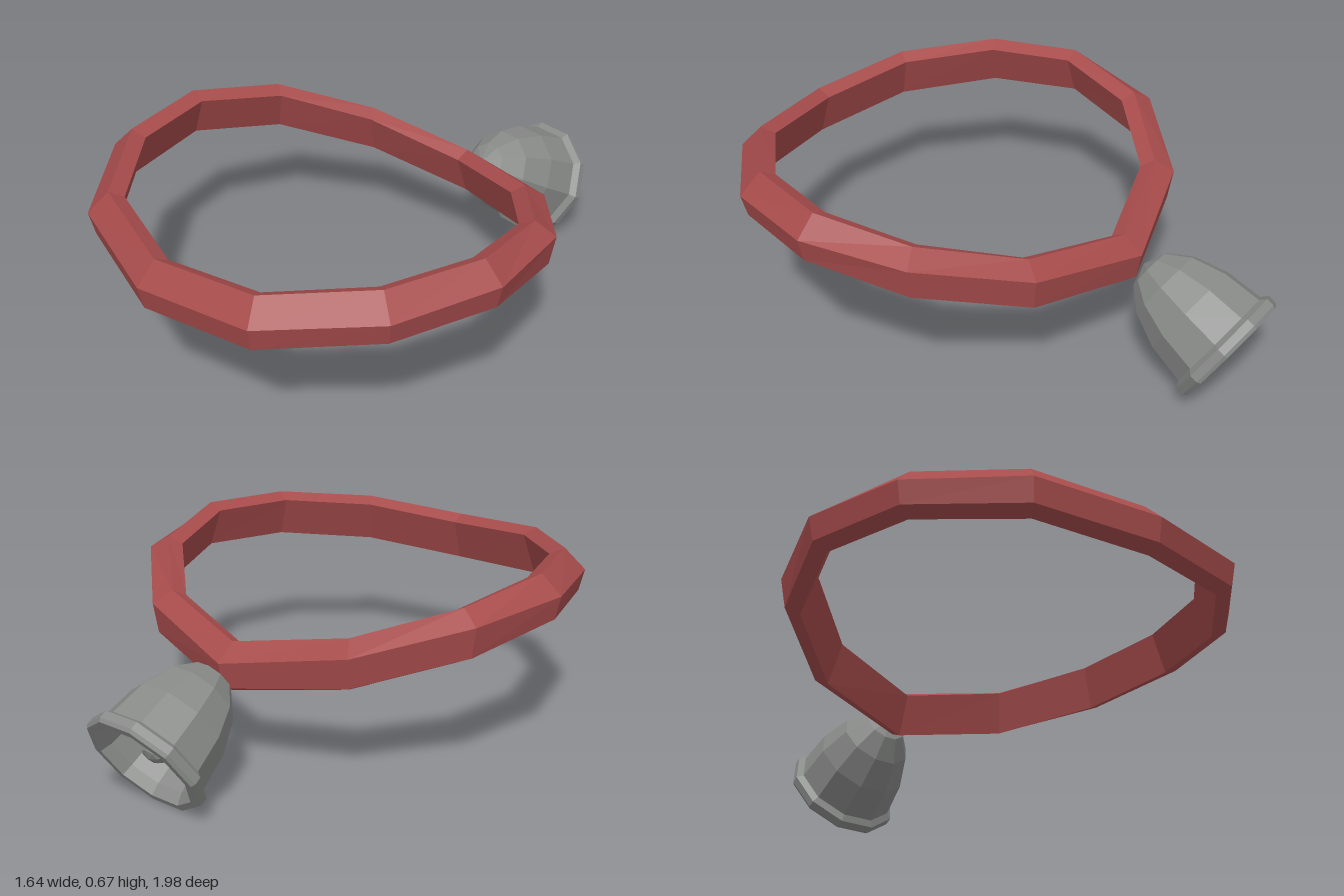
import * as THREE from 'three';

const collarRed = new THREE.MeshStandardMaterial({ color: 0xa64b4b });
collarRed.name = 'collar red';
const bellGrey = new THREE.MeshStandardMaterial({ color: 0x888a88 });
bellGrey.name = 'bell grey';

// Faceted mesh: unshared corners give flat normals
function facet(name, geometry, material) {
  const g = geometry.index ? geometry.toNonIndexed() : geometry;
  g.computeVertexNormals();
  const mesh = new THREE.Mesh(g, material);
  mesh.name = name;
  return mesh;
}

// Collar: five-sided section swept round a drooping twelve-sided loop
function collarGeometry() {
  // Half loop from front to back: x, z of the outer edge, then heights of
  // the outer edge, top edge, bottom edge
  const half = [
    [0, 0.99, 0.555, 0.63, 0.45],
    [0.43, 0.895, 0.585, 0.66, 0.48],
    [0.72, 0.6, 0.615, 0.69, 0.515],
    [0.82, 0.24, 0.63, 0.695, 0.525],
    [0.72, -0.12, 0.6, 0.645, 0.47],
    [0.43, -0.4, 0.51, 0.555, 0.38],
    [0, -0.53, 0.43, 0.488, 0.315],
  ];
  const mirrored = half.slice(1, -1).reverse().map(([x, ...rest]) => [-x, ...rest]);
  const centreZ = 0.23;
  const rings = [...half, ...mirrored].map(([x, z, outer, top, bottom]) =>
    [[1, outer], [0.907, top], [0.842, top - 0.025], [0.91, bottom], [0.977, bottom + 0.022]]
      .map(([s, y]) => [x * s, y, centreZ + (z - centreZ) * s]));

  const positions = [];
  rings.forEach((ring, i) => {
    const next = rings[(i + 1) % rings.length];
    ring.forEach((a, j) => {
      const k = (j + 1) % ring.length;
      const b = next[j], c = next[k], d = ring[k];
      positions.push(...a, ...b, ...c, ...a, ...c, ...d);
    });
  });
  const g = new THREE.BufferGeometry();
  g.setAttribute('position', new THREE.Float32BufferAttribute(positions, 3));
  return g;
}

// Bell: ten-sided shell with an inside, rolled lip and hanging clapper
function buildBell() {
  const bell = new THREE.Group();
  bell.name = 'bell';
  const profile = [
    [0, 0.37], [0.06, 0.355], [0.11, 0.3], [0.15, 0.19], [0.17, 0.04], [0.187, 0],
    [0.212, 0], [0.22, 0.012], [0.22, 0.04], [0.197, 0.056],
    [0.18, 0.19], [0.138, 0.305], [0.078, 0.38], [0, 0.407],
  ].map(([r, y]) => new THREE.Vector2(r, y));
  bell.add(facet('bellShell', new THREE.LatheGeometry(profile, 10, Math.PI / 10), bellGrey));

  const ball = facet('clapperBall', new THREE.SphereGeometry(0.065, 8, 6), bellGrey);
  ball.position.y = 0.1;
  const rod = facet('clapperRod', new THREE.CylinderGeometry(0.02, 0.02, 0.24, 6), bellGrey);
  rod.position.y = 0.25;
  bell.add(ball, rod);

  // Mouth tilts down and backwards
  bell.position.set(0, 0.195, -0.89);
  bell.rotation.x = 1.035;
  return bell;
}

export function createModel() {
  const model = new THREE.Group();
  model.name = 'belledCollar';
  model.add(facet('collar', collarGeometry(), collarRed), buildBell());
  return model;
}
